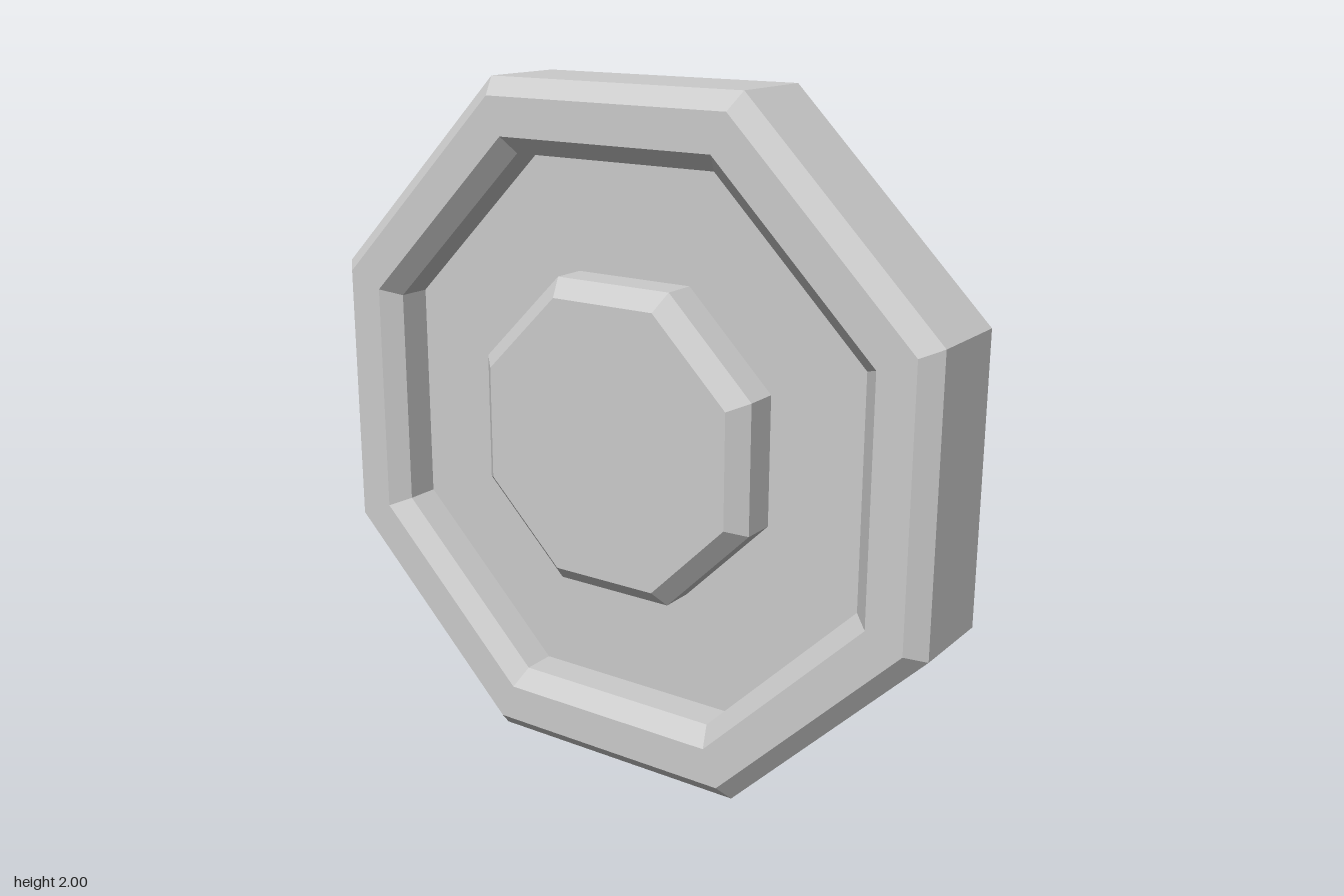
import * as THREE from 'three';

const SIDES = 8;
const CORNER = 1 / Math.cos(Math.PI / SIDES); // apothem to corner radius

export function createModel() {
  const group = new THREE.Group();
  const material = new THREE.MeshStandardMaterial({ color: 0xcccccc, flatShading: true });

  // Turns a profile of [apothem, depth] points into an octagonal ring facing +z
  function addRing(name, profile) {
    const points = profile.map(([a, d]) => new THREE.Vector2(a * CORNER, d));
    const geometry = new THREE.LatheGeometry(points, SIDES, Math.PI / SIDES);
    geometry.rotateX(Math.PI / 2);
    const mesh = new THREE.Mesh(geometry, material);
    mesh.name = name;
    mesh.position.y = 1;
    group.add(mesh);
  }

  // Reversed order keeps the mirrored faces pointing outward
  const mirror = (profile) => profile.map(([a, d]) => [a, -d]).reverse();

  const face = 0.187, shoulder = 0.136, recess = 0.035;

  // Outer rim, bevelled on both edges of both faces
  const rimFront = [[1, shoulder], [0.95, face], [0.84, face], [0.79, shoulder], [0.79, recess]];
  addRing('rim', [...mirror(rimFront), ...rimFront]);

  // Recessed panel and raised bevelled hub, front and back
  const panel = [[0.79, recess], [0.455, recess]];
  const hub = [[0.455, recess], [0.455, shoulder], [0.405, face], [0, face]];
  addRing('frontPanel', panel);
  addRing('backPanel', mirror(panel));
  addRing('frontHub', hub);
  addRing('backHub', mirror(hub));

  return group;
}
